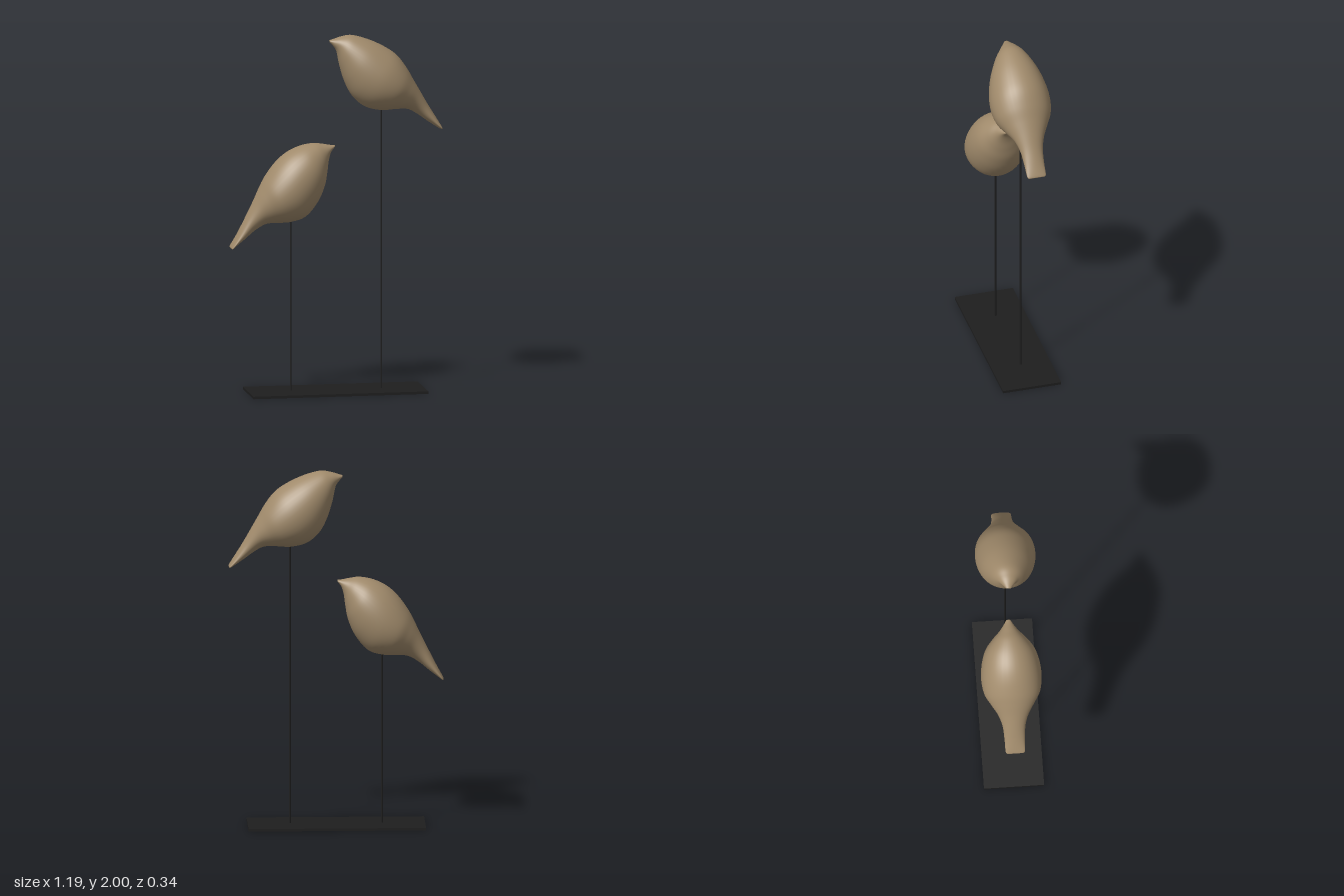
import * as THREE from 'three';

const bodyTan = new THREE.MeshStandardMaterial({ color: 0xa08a6b });
bodyTan.name = 'bodyTan';
const standBlack = new THREE.MeshStandardMaterial({ color: 0x1e1e1e });
standBlack.name = 'standBlack';

// half widths from beak to tail, shared by both birds
const WIDTHS = [0.012, 0.028, 0.054, 0.092, 0.135, 0.16, 0.168, 0.155, 0.12, 0.085, 0.064, 0.057, 0.054, 0.046];

// each row is one section: back x, back y, belly x, belly y
const HIGH_BIRD = [
  [-0.04, 1.975, -0.038, 1.963], [-0.015, 1.982, -0.02, 1.943], [0.03, 1.995, 0.0, 1.91],
  [0.09, 2.0, 0.017, 1.83], [0.19, 1.97, 0.045, 1.74], [0.28, 1.925, 0.087, 1.66],
  [0.34, 1.88, 0.156, 1.6], [0.39, 1.815, 0.245, 1.577], [0.43, 1.745, 0.325, 1.58],
  [0.47, 1.675, 0.395, 1.578], [0.51, 1.605, 0.45, 1.55], [0.55, 1.54, 0.51, 1.507],
  [0.585, 1.483, 0.57, 1.468], [0.592, 1.468, 0.585, 1.462],
];
const LOW_BIRD = [
  [-0.01, 1.385, -0.012, 1.374], [-0.035, 1.387, -0.033, 1.345], [-0.08, 1.395, -0.046, 1.3],
  [-0.135, 1.4, -0.055, 1.235], [-0.21, 1.385, -0.07, 1.16], [-0.283, 1.35, -0.11, 1.07],
  [-0.345, 1.295, -0.18, 0.99], [-0.4, 1.22, -0.267, 0.963], [-0.435, 1.155, -0.34, 0.96],
  [-0.47, 1.08, -0.4, 0.955], [-0.505, 1.01, -0.46, 0.922], [-0.55, 0.92, -0.52, 0.873],
  [-0.59, 0.845, -0.58, 0.828], [-0.598, 0.828, -0.592, 0.82],
];

// smooth loft of elliptical sections; side is +1 when the tail points to +x
function birdGeometry(sections, side) {
  const spline = (pts) => new THREE.CatmullRomCurve3(pts, false, 'catmullrom', 0.5);
  const back = spline(sections.map((s, i) => new THREE.Vector3(s[0], s[1], WIDTHS[i])));
  const belly = spline(sections.map((s) => new THREE.Vector3(s[2], s[3], 0)));
  const steps = 78, around = 40, positions = [], index = [];
  // the first and last rings shrink to a point to close the ends
  for (let i = -1; i <= steps + 1; i++) {
    const t = THREE.MathUtils.clamp(i / steps, 0, 1);
    const size = i < 0 || i > steps ? 0 : 1;
    const a = back.getPoint(t), b = belly.getPoint(t);
    for (let j = 0; j < around; j++) {
      const angle = (j / around) * Math.PI * 2;
      const c = size * Math.cos(angle) / 2;
      positions.push(
        (a.x + b.x) / 2 + (a.x - b.x) * c,
        (a.y + b.y) / 2 + (a.y - b.y) * c,
        side * size * a.z * Math.sin(angle),
      );
    }
  }
  for (let i = 0; i < steps + 2; i++) {
    for (let j = 0; j < around; j++) {
      const k = (j + 1) % around;
      const p = i * around + j, q = i * around + k;
      index.push(p, q, p + around, q, q + around, p + around);
    }
  }
  const geometry = new THREE.BufferGeometry();
  geometry.setAttribute('position', new THREE.Float32BufferAttribute(positions, 3));
  geometry.setIndex(index);
  geometry.computeVertexNormals();
  return geometry;
}

export function createModel() {
  const model = new THREE.Group();
  model.name = 'birdsOnStand';
  const add = (name, geometry, material, x = 0, y = 0, z = 0) => {
    const mesh = new THREE.Mesh(geometry, material);
    mesh.name = name;
    mesh.position.set(x, y, z);
    model.add(mesh);
  };

  // flat base plate
  add('basePlate', new THREE.BoxGeometry(0.984, 0.014, 0.334), standBlack, -0.005, 0.007, -0.001);

  // thin rods, each ending just inside its bird
  for (const [name, x, top] of [['lowRod', -0.258, 0.99], ['highRod', 0.252, 1.6]]) {
    add(name, new THREE.CylinderGeometry(0.005, 0.005, top, 12), standBlack, x, top / 2);
  }

  // the two birds face each other
  add('highBird', birdGeometry(HIGH_BIRD, 1), bodyTan);
  add('lowBird', birdGeometry(LOW_BIRD, -1), bodyTan);
  return model;
}
